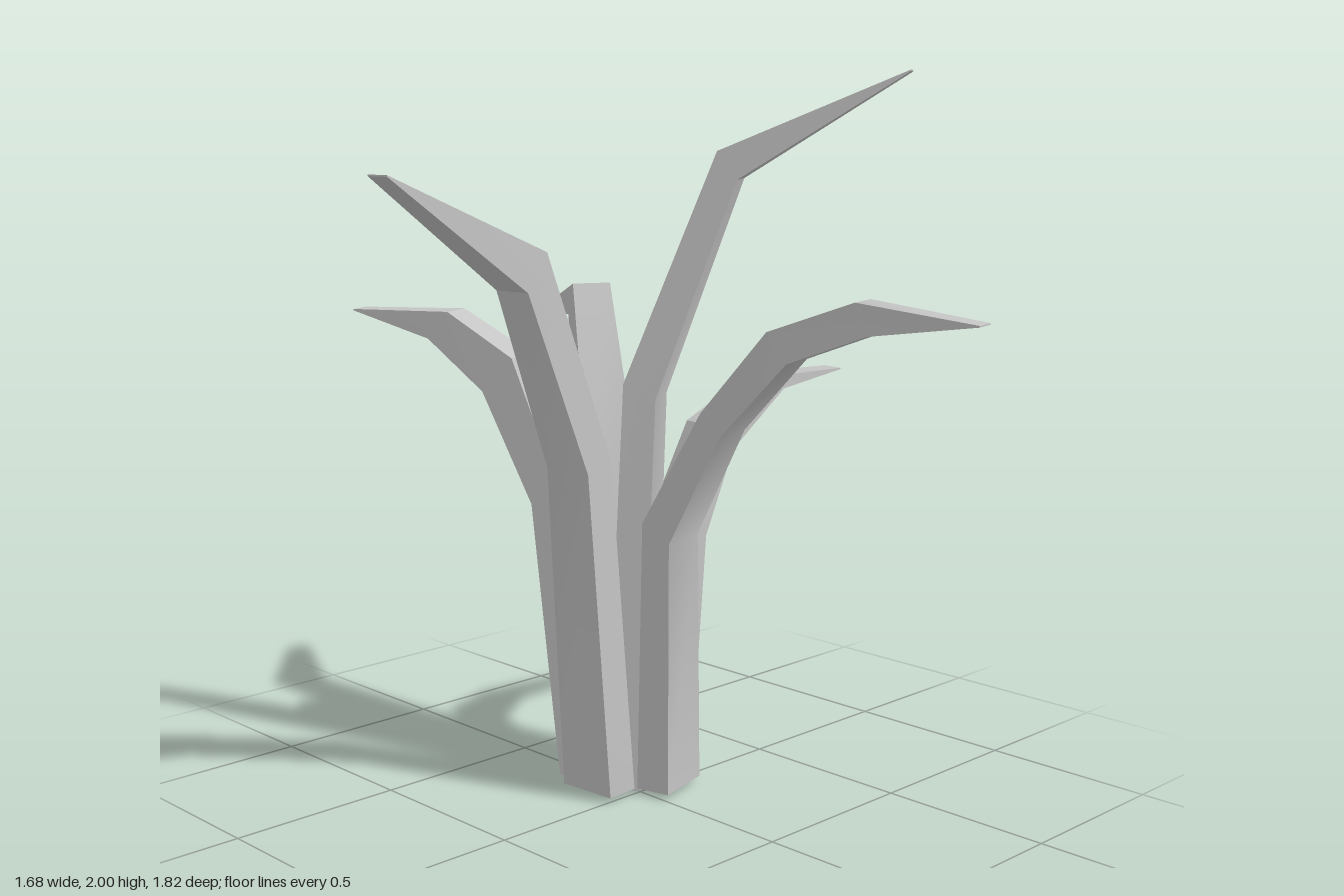
import * as THREE from 'three';
import { toCreasedNormals } from 'three/addons/utils/BufferGeometryUtils.js';

// Each leaf: heading (degrees from +x towards +z) and stations
// [outer radius, outer height, inner radius, inner height] from base to tip
const LEAVES = [
  { name: 'centreLeaf', angle: 57, stations: [
    [0.05, 0, -0.05, 0], [0.09, 1.12, 0.0, 1.16], [0.307, 1.715, 0.252, 1.79], [0.755, 1.996, 0.755, 2.0]] },
  { name: 'leftLeaf', angle: 5, stations: [
    [0.155, 0.015, 0.06, 0.015], [0.22, 0.7, 0.14, 0.75], [0.33, 0.935, 0.265, 1.01],
    [0.54, 1.09, 0.495, 1.13], [0.79, 1.123, 0.79, 1.127]] },
  { name: 'frontLeaf', angle: 75.5, stations: [
    [0.18, 0.015, 0.08, 0.015], [0.175, 0.73, 0.09, 0.78], [0.325, 1.04, 0.265, 1.1],
    [0.515, 1.25, 0.455, 1.33], [0.735, 1.335, 0.7, 1.42], [1.03, 1.376, 1.03, 1.38]] },
  { name: 'rightLeaf', angle: 175.5, stations: [
    [0.18, 0.015, 0.08, 0.015], [0.25, 0.94, 0.16, 0.97], [0.45, 1.44, 0.38, 1.54], [0.89, 1.746, 0.89, 1.75]] },
  { name: 'backRightLeaf', angle: 248, stations: [
    [0.18, 0.015, 0.08, 0.015], [0.27, 0.8, 0.18, 0.84], [0.43, 1.11, 0.335, 1.21],
    [0.61, 1.25, 0.545, 1.33], [0.868, 1.318, 0.868, 1.322]] },
  { name: 'backLeftLeaf', angle: 296.2, stations: [
    [0.18, 0.015, 0.08, 0.015], [0.25, 0.86, 0.165, 0.89], [0.42, 1.3, 0.367, 1.395], [0.836, 1.262, 0.836, 1.268]] },
];

// Sweep a four-sided section through the stations, narrowing towards the tip
function leafGeometry(angle, stations) {
  const a = THREE.MathUtils.degToRad(angle);
  const dir = new THREE.Vector3(Math.cos(a), 0, Math.sin(a));
  const side = new THREE.Vector3(dir.z, 0, -dir.x);
  const centre = new THREE.Vector3(0.05, 0, -0.095);

  const lengths = [0];
  for (let i = 1; i < stations.length; i++) {
    const [p, q] = [stations[i - 1], stations[i]];
    const dr = (q[0] + q[2] - p[0] - p[2]) / 2;
    const dy = (q[1] + q[3] - p[1] - p[3]) / 2;
    lengths.push(lengths[i - 1] + Math.hypot(dr, dy));
  }

  const positions = [];
  stations.forEach(([ro, yo, ri, yi], i) => {
    const t = lengths[i] / lengths[lengths.length - 1];
    const half = (0.178 - 0.108 * Math.pow(t, 1.8)) / 2;
    for (const [r, y, s] of [[ro, yo, half], [ro, yo, -half], [ri, yi, -half], [ri, yi, half]]) {
      const p = centre.clone().addScaledVector(dir, r).addScaledVector(side, s);
      positions.push(p.x, y, p.z);
    }
  });

  const index = [0, 1, 2, 0, 2, 3]; // base cap
  const last = (stations.length - 1) * 4;
  for (let k = 0; k < last; k += 4) {
    for (let j = 0; j < 4; j++) {
      const n = (j + 1) % 4;
      index.push(k + n, k + j, k + 4 + j, k + n, k + 4 + j, k + 4 + n);
    }
  }
  index.push(last + 2, last + 1, last, last + 3, last + 2, last); // tip cap

  const geometry = new THREE.BufferGeometry();
  geometry.setAttribute('position', new THREE.Float32BufferAttribute(positions, 3));
  geometry.setIndex(index);
  return toCreasedNormals(geometry, 0.5); // smooth gentle bends, keep edges sharp
}

export function createModel() {
  const plant = new THREE.Group();
  plant.name = 'plant';
  const material = new THREE.MeshStandardMaterial({ color: 0xc4c4c4 });
  material.name = 'light grey';
  for (const { name, angle, stations } of LEAVES) {
    const leaf = new THREE.Mesh(leafGeometry(angle, stations), material);
    leaf.name = name;
    plant.add(leaf);
  }
  return plant;
}
